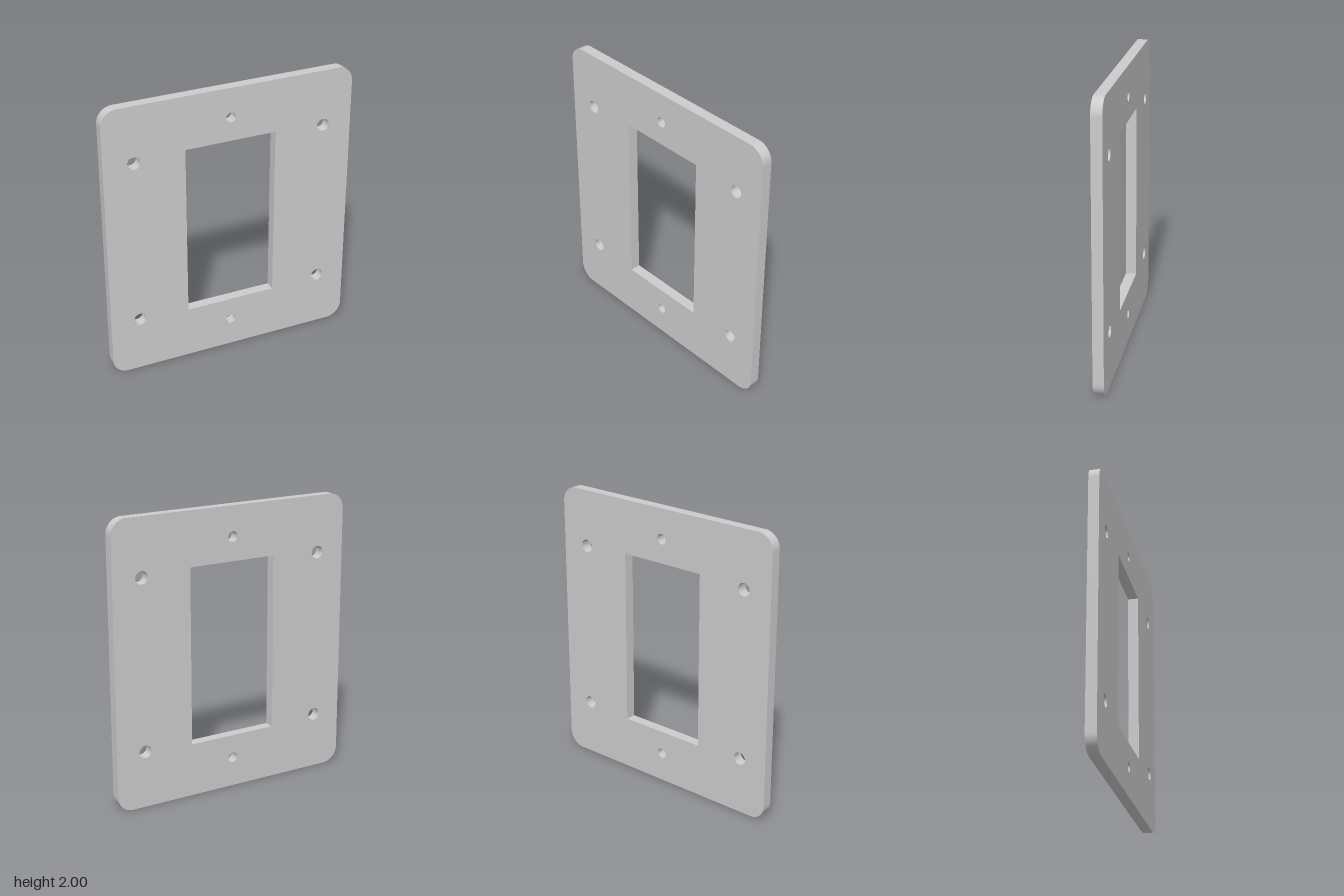
import * as THREE from 'three';
import { toCreasedNormals } from 'three/addons/utils/BufferGeometryUtils.js';

const W = 0.893, H = 1, R = 0.11, T = 0.074; // half width, half height, corner radius, thickness

function roundedPlate() {
  const s = new THREE.Shape();
  s.absarc(W - R, H - R, R, 0, Math.PI / 2);
  s.absarc(-W + R, H - R, R, Math.PI / 2, Math.PI);
  s.absarc(-W + R, -H + R, R, Math.PI, Math.PI * 1.5);
  s.absarc(W - R, -H + R, R, Math.PI * 1.5, Math.PI * 2);
  s.closePath();
  return s;
}

function roundHole(x, y, r) {
  return new THREE.Path().absarc(x, y, r, 0, Math.PI * 2, true);
}

export function createModel() {
  const group = new THREE.Group();
  const shape = roundedPlate();

  // Rectangular window
  const w = 0.325, h = 0.622;
  shape.holes.push(new THREE.Path([
    new THREE.Vector2(-w, -h), new THREE.Vector2(-w, h),
    new THREE.Vector2(w, h), new THREE.Vector2(w, -h), new THREE.Vector2(-w, -h),
  ]));

  // Four mounting holes and two smaller centre holes
  for (const sy of [-1, 1]) {
    for (const sx of [-1, 1]) shape.holes.push(roundHole(sx * 0.683, sy * 0.6, 0.045));
    shape.holes.push(roundHole(0, sy * 0.79, 0.036));
  }

  const geometry = new THREE.ExtrudeGeometry(shape, { depth: T, bevelEnabled: false, curveSegments: 16 });
  geometry.translate(0, H, -T / 2);

  const plate = new THREE.Mesh(
    toCreasedNormals(geometry, Math.PI / 5),
    new THREE.MeshStandardMaterial({ color: 0xcccccc })
  );
  plate.name = 'coverPlate';
  group.add(plate);
  return group;
}
